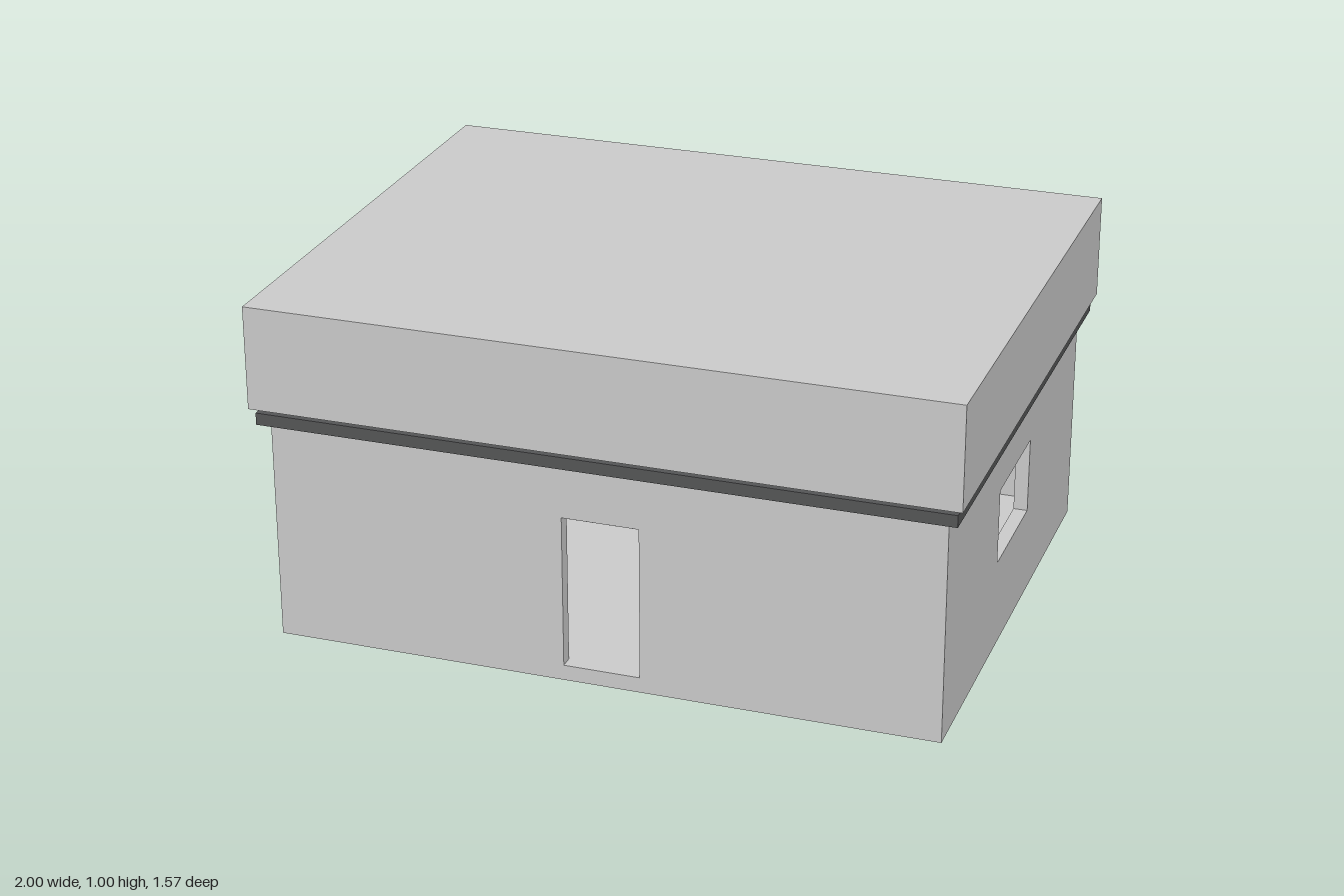
import * as THREE from 'three';

const grey = new THREE.MeshStandardMaterial({ color: 0xcccccc });
const dark = new THREE.MeshStandardMaterial({ color: 0x555657 });

const WALL_X = 0.955, WALL_Z = 0.74, WALL_TOP = 0.7, THICK = 0.04;

// Box spanning y0..y1, centred on the vertical axis
function slab(name, halfX, halfZ, y0, y1, material) {
  const mesh = new THREE.Mesh(new THREE.BoxGeometry(halfX * 2, y1 - y0, halfZ * 2), material);
  mesh.position.y = (y0 + y1) / 2;
  mesh.name = name;
  return mesh;
}

function rectangle(path, halfWidth, y0, y1) {
  path.moveTo(-halfWidth, y0);
  path.lineTo(halfWidth, y0);
  path.lineTo(halfWidth, y1);
  path.lineTo(-halfWidth, y1);
  path.closePath();
  return path;
}

// Upright wall panel whose outer face lies `distance` from the centre
function wall(name, halfWidth, distance, angle, opening) {
  const shape = rectangle(new THREE.Shape(), halfWidth, 0, WALL_TOP);
  if (opening) shape.holes.push(rectangle(new THREE.Path(), ...opening));
  const geometry = new THREE.ExtrudeGeometry(shape, { depth: THICK, bevelEnabled: false });
  geometry.translate(0, 0, distance - THICK);
  geometry.rotateY(angle);
  const mesh = new THREE.Mesh(geometry, grey);
  mesh.name = name;
  return mesh;
}

export function createModel() {
  const model = new THREE.Group();
  model.name = 'house';
  const inX = WALL_X - THICK, inZ = WALL_Z - THICK;

  // Walls: doorway at the front, window on the +x side
  model.add(
    wall('frontWallWithDoorway', WALL_X, WALL_Z, 0, [0.11, 0.045, 0.492]),
    wall('backWall', WALL_X, WALL_Z, Math.PI),
    wall('leftWallWithWindow', inZ, WALL_X, Math.PI / 2, [0.175, 0.262, 0.482]),
    wall('rightWall', inZ, WALL_X, -Math.PI / 2)
  );

  // Floor, and a dark ceiling just below the tops of the openings
  model.add(slab('floor', inX, inZ, 0, 0.045, grey));
  model.add(slab('ceiling', inX, inZ, 0.471, 0.65, dark));

  // Dark band around the walls and the deep overhanging roof
  model.add(slab('eavesBand', 0.985, 0.77, 0.65, 0.685, dark));
  model.add(slab('roof', 1, 0.783, WALL_TOP, 1, grey));
  return model;
}
